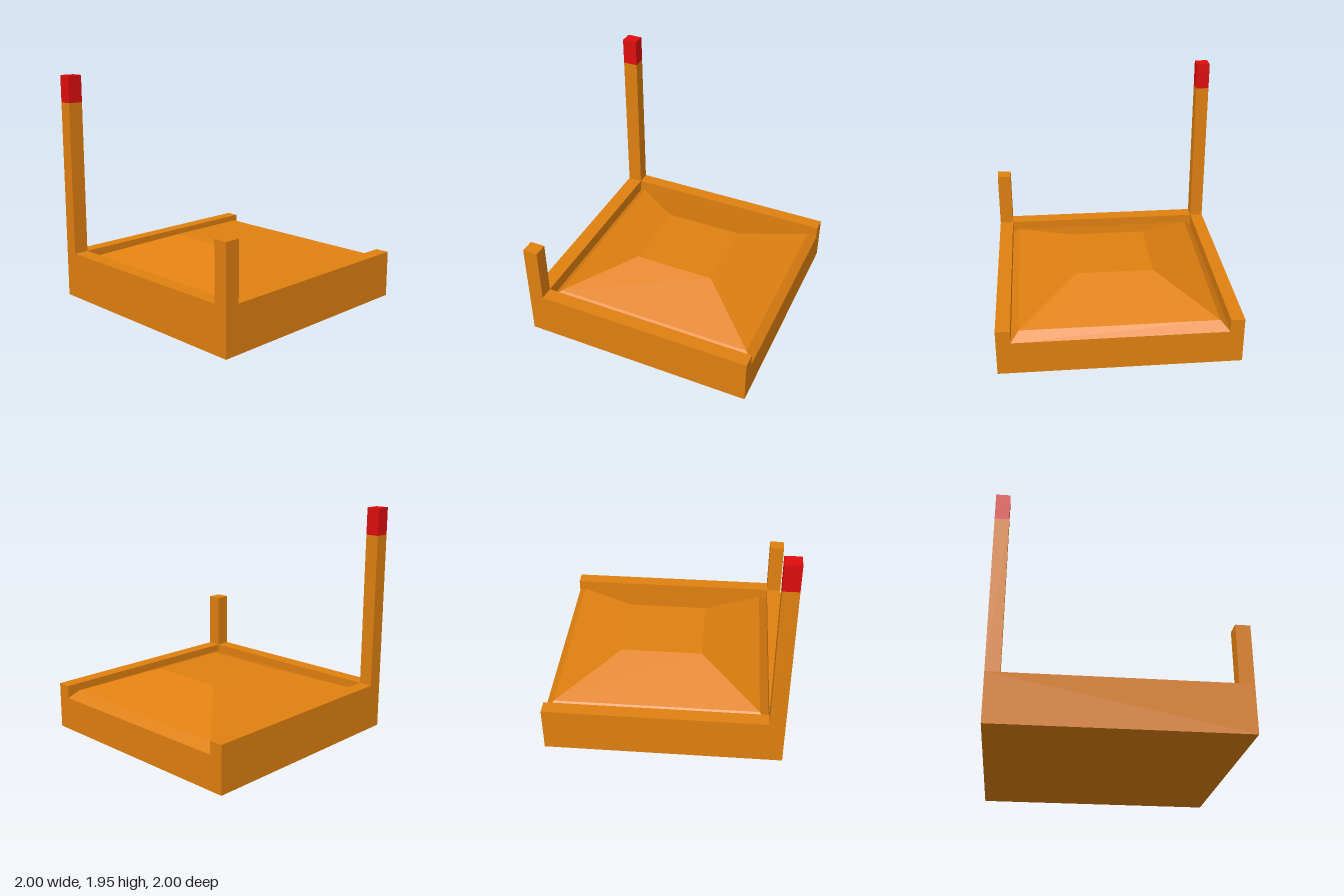
import * as THREE from 'three';

// Inner edges of the box: left wall, right wall, front wall
const X0 = -0.885, X1 = 0.88, Z1 = 0.87;
const RIM = 0.4, FLOOR = 0.29;

const orange = new THREE.MeshStandardMaterial({ color: 0xe08010, flatShading: true });
const red = new THREE.MeshStandardMaterial({ color: 0xe00d0d, flatShading: true });

// Box given by its limits on each axis
function block(name, [xa, xb], [ya, yb], [za, zb], material = orange) {
  const mesh = new THREE.Mesh(new THREE.BoxGeometry(xb - xa, yb - ya, zb - za), material);
  mesh.position.set((xa + xb) / 2, (ya + yb) / 2, (za + zb) / 2);
  mesh.name = name;
  return mesh;
}

// U-shaped wall, open at the back
function walls() {
  const outline = [[-1, -1], [1, -1], [1, 1], [X1, 1], [X1, -Z1], [X0, -Z1], [X0, 1], [-1, 1]];
  const shape = new THREE.Shape(outline.map(([x, y]) => new THREE.Vector2(x, y)));
  const geometry = new THREE.ExtrudeGeometry(shape, { depth: RIM, bevelEnabled: false });
  geometry.rotateX(-Math.PI / 2);
  const mesh = new THREE.Mesh(geometry, orange);
  mesh.name = 'walls';
  return mesh;
}

// Faceted mound: stacked rectangles joined by sloping sides, with a flat top
function mound() {
  const rings = [
    { y: FLOOR, x: [X0, X1], z: [-1, Z1] },
    { y: 0.36, x: [-0.815, 0.815], z: [-0.93, 0.795] },
    { y: 0.55, x: [-0.33, 0.33], z: [-0.41, 0.285] },
  ];
  const points = [], index = [];
  for (const { y, x, z } of rings) {
    points.push(x[0], y, z[1], x[1], y, z[1], x[1], y, z[0], x[0], y, z[0]);
  }
  for (let r = 0; r < rings.length - 1; r++) {
    for (let i = 0; i < 4; i++) {
      const a = r * 4 + i, b = r * 4 + (i + 1) % 4;
      index.push(a, b, b + 4, a, b + 4, a + 4);
    }
  }
  index.push(8, 9, 10, 8, 10, 11);
  const indexed = new THREE.BufferGeometry();
  indexed.setAttribute('position', new THREE.Float32BufferAttribute(points, 3));
  indexed.setIndex(index);
  const geometry = indexed.toNonIndexed();
  geometry.computeVertexNormals();
  const mesh = new THREE.Mesh(geometry, orange);
  mesh.name = 'mound';
  return mesh;
}

export function createModel() {
  const model = new THREE.Group();
  model.name = 'trayWithPosts';
  model.add(
    walls(),
    block('floor', [X0, X1], [0, FLOOR], [-1, Z1]),
    mound(),
    // Corner posts at the front
    block('tallPost', [-1, X0], [RIM, 1.72], [Z1, 1]),
    block('tallPostTip', [-1, X0], [1.72, 1.95], [Z1, 1], red),
    block('shortPost', [X1, 1], [RIM, 0.89], [Z1, 1]),
  );
  return model;
}
